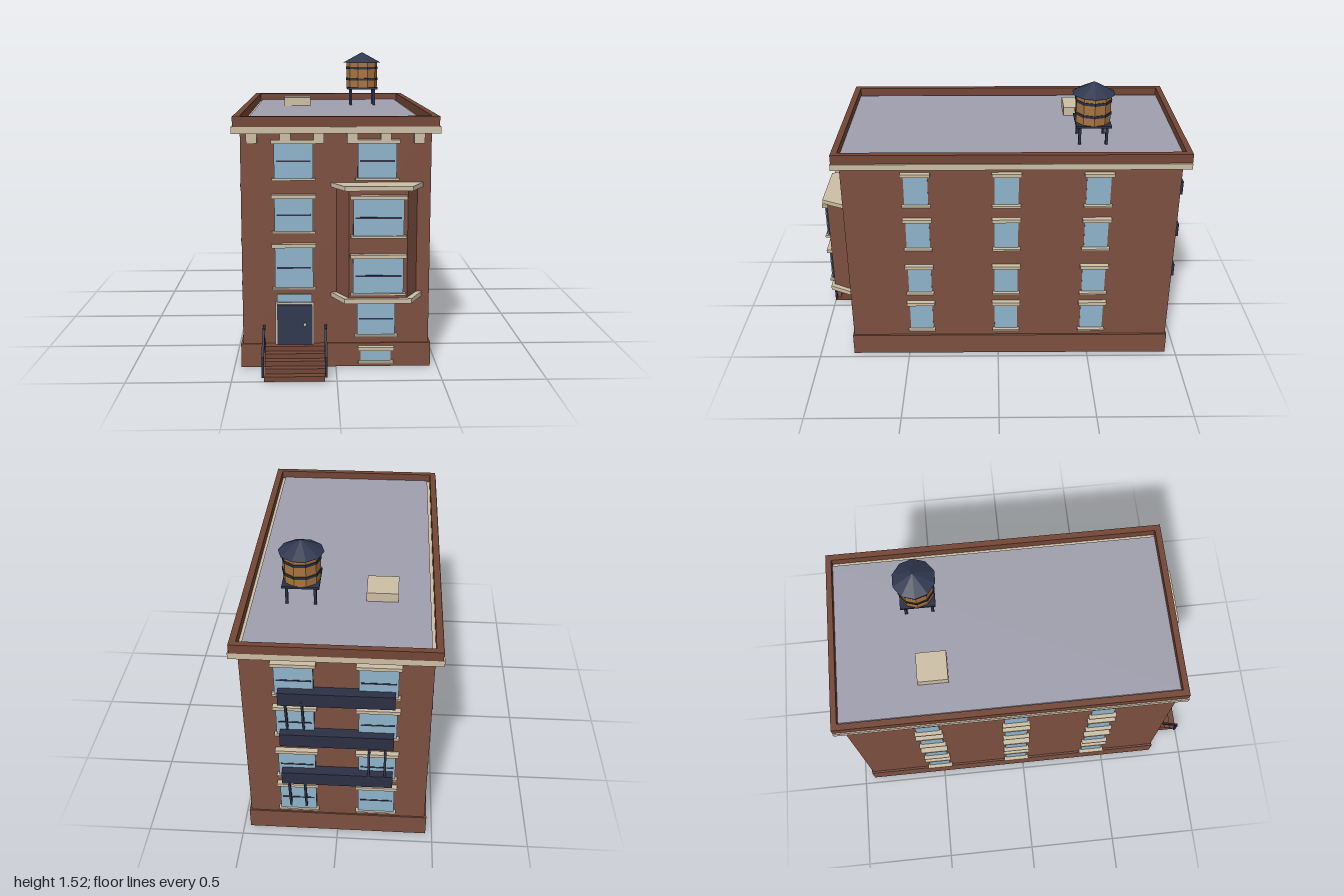
import * as THREE from 'three';

const mat = (name, color) => {
  const m = new THREE.MeshStandardMaterial({ color });
  m.name = name;
  return m;
};

export function createModel() {
  const brick = mat('brick', 0x7d5040);
  const darkBrick = mat('dark brick', 0x734636);
  const stone = mat('cream stone', 0xcdbfa6);
  const glass = mat('window glass', 0x8fb4cc);
  const iron = mat('dark iron', 0x2b3044);
  const slate = mat('slate blue', 0x30384f);
  const roofing = mat('grey roofing', 0x9f9fae);
  const wood = mat('barrel wood', 0xa87440);

  const model = new THREE.Group();
  model.name = 'townhouse';

  const add = (parent, name, geo, m) => {
    const mesh = new THREE.Mesh(geo, m);
    mesh.name = name;
    parent.add(mesh);
    return mesh;
  };
  // Box given by its minimum and maximum on each axis
  const box = (parent, name, m, x0, x1, y0, y1, z0, z1) => {
    const mesh = add(parent, name, new THREE.BoxGeometry(x1 - x0, y1 - y0, z1 - z0), m);
    mesh.position.set((x0 + x1) / 2, (y0 + y1) / 2, (z0 + z1) / 2);
    return mesh;
  };
  // Thin square bar between two points
  const bar = (parent, name, m, a, b, w) => {
    const p = new THREE.Vector3(...a), q = new THREE.Vector3(...b);
    const mesh = add(parent, name, new THREE.BoxGeometry(w, w, p.distanceTo(q)), m);
    mesh.position.copy(p).add(q).multiplyScalar(0.5);
    mesh.lookAt(q);
    return mesh;
  };
  const group = (name) => {
    const g = new THREE.Group();
    g.name = name;
    model.add(g);
    return g;
  };

  const W = 0.455, FRONT = 0.805, BACK = -0.936;

  // Walls and plinth
  box(model, 'walls', brick, -W, W, 0.12, 1.16, BACK, FRONT);
  box(model, 'plinth', brick, -0.466, 0.466, 0, 0.12, -0.943, 0.812);

  // Cornice, roof and parapet
  box(model, 'cornice', stone, -0.495, 0.495, 1.16, 1.192, -0.975, 0.843);
  box(model, 'roof', roofing, -0.44, 0.44, 1.19, 1.2, -0.945, 0.808);
  for (const s of [-1, 1]) {
    box(model, 'sideParapet', darkBrick, Math.min(s * 0.455, s * 0.488), Math.max(s * 0.455, s * 0.488), 1.192, 1.24, -0.975, 0.84);
  }
  box(model, 'frontParapet', darkBrick, -0.455, 0.455, 1.192, 1.24, 0.808, 0.84);
  box(model, 'backParapet', darkBrick, -0.455, 0.455, 1.192, 1.24, -0.975, -0.945);
  for (let i = 0; i < 6; i++) {
    const x = -0.4 + i * 0.159;
    box(model, 'corniceBracket', stone, x - 0.025, x + 0.025, 1.112, 1.16, FRONT, 0.832);
  }
  box(model, 'roofHatch', stone, -0.28, -0.122, 1.2, 1.249, -0.53, -0.372);

  // Window facing local +z, wall plane at z = 0
  const windowUnit = (parent, x, y0, y1, w, sash) => {
    const g = new THREE.Group();
    g.name = 'window';
    parent.add(g);
    const h = w / 2, d = sash ? 0.012 : 0.001;
    if (sash) {
      box(g, 'frame', iron, x - h, x + h, y0, y1, -0.005, d);
      const ym = (y0 + y1) / 2 - 0.001;
      box(g, 'sashBar', iron, x - h + 0.01, x + h - 0.01, ym - 0.004, ym + 0.004, d, d + 0.006);
    }
    box(g, 'pane', glass, x - h, x + h, y0, y1, d, d + 0.004);
    box(g, 'lintel', stone, x - h - 0.014, x + h + 0.014, y1, y1 + 0.018, 0, 0.028);
    box(g, 'sill', stone, x - h - 0.012, x + h + 0.012, y0 - 0.01, y0, 0, 0.026);
  };
  const wall = (name, x, z, turn) => {
    const g = group(name);
    g.position.set(x, 0, z);
    g.rotation.y = turn;
    return g;
  };
  const floors = [[0.167, 0.329], [0.408, 0.563], [0.687, 0.848], [0.945, 1.111]];

  // Front windows
  const front = wall('frontWindows', 0, FRONT, 0);
  windowUnit(front, -0.203, 0.408, 0.607, 0.185, true);
  for (const i of [2, 3]) windowUnit(front, -0.203, ...floors[i], 0.185, true);
  for (const i of [0, 3]) windowUnit(front, 0.196, ...floors[i], 0.185, true);
  windowUnit(wall('basementWindow', 0, 0.812, 0), 0.196, 0.03, 0.088, 0.148, false);

  // Back and side windows
  const back = wall('backWindows', 0, BACK, Math.PI);
  const left = wall('leftWindows', W, 0, Math.PI / 2);
  const right = wall('rightWindows', -W, 0, -Math.PI / 2);
  for (const [y0, y1] of floors) {
    for (const x of [-0.2, 0.2]) windowUnit(back, x, y0, y1, 0.185, true);
    for (const z of [0.423, -0.043, -0.515]) {
      windowUnit(left, -z, y0, y1, 0.124, false);
      windowUnit(right, z, y0, y1, 0.124, false);
    }
  }

  // Bay: trapezoid prisms extruded upward
  const prism = (name, m, xa, xb, xc, xd, depth, y0, y1) => {
    const s = new THREE.Shape();
    s.moveTo(xa, 0); s.lineTo(xb, -depth); s.lineTo(xc, -depth); s.lineTo(xd, 0);
    s.closePath();
    const mesh = add(model, name, new THREE.ExtrudeGeometry(s, { depth: y1 - y0, bevelEnabled: false }), m);
    mesh.rotation.x = -Math.PI / 2;
    mesh.position.set(0, y0, FRONT);
  };
  prism('bay', brick, 0.002, 0.058, 0.335, 0.391, 0.105, 0.378, 0.902);
  prism('bayCap', stone, -0.025, 0.038, 0.356, 0.418, 0.122, 0.9, 0.922);
  prism('bayBase', stone, -0.025, 0.038, 0.356, 0.418, 0.122, 0.357, 0.38);
  const bayFront = wall('bayWindows', 0, FRONT + 0.105, 0);
  windowUnit(bayFront, 0.197, 0.408, 0.579, 0.238, true);
  windowUnit(bayFront, 0.197, 0.687, 0.86, 0.238, true);

  // Entrance
  box(model, 'doorFrame', stone, -0.296, -0.108, 0.12, 0.332, FRONT, 0.822);
  box(model, 'door', slate, -0.287, -0.116, 0.12, 0.322, 0.822, 0.827);
  box(model, 'doorKnob', stone, -0.159, -0.145, 0.217, 0.231, 0.827, 0.838);
  box(model, 'transom', glass, -0.287, -0.116, 0.332, 0.37, FRONT, 0.812);

  // Stoop and railings
  for (let i = 0; i < 5; i++) {
    box(model, 'step', darkBrick, -0.345, -0.057, i * 0.024, (i + 1) * 0.024, FRONT, 1 - i * 0.037);
  }
  for (const x of [-0.351, -0.051]) {
    const g = group('railing');
    bar(g, 'lowerPost', iron, [x, 0.018, 0.992], [x, 0.118, 0.992], 0.012);
    bar(g, 'upperPost', iron, [x, 0.096, 0.862], [x, 0.21, 0.862], 0.012);
    bar(g, 'slopedRail', iron, [x, 0.115, 0.994], [x, 0.208, 0.86], 0.012);
    bar(g, 'topRail', iron, [x, 0.207, 0.865], [x, 0.207, FRONT], 0.012);
  }

  // Fire escape: balconies with zigzag ladders between them
  const escape = group('fireEscape');
  for (const y of [0.385, 0.644, 0.905]) {
    box(escape, 'balcony', iron, -0.28, 0.275, y, y + 0.075, -0.993, BACK);
  }
  const ladders = [[0.2, 0.165, -0.943, 0.4, -0.988], [-0.2, 0.44, -0.99, 0.67, -0.943], [0.2, 0.7, -0.943, 0.93, -0.988]];
  for (const [x, y0, z0, y1, z1] of ladders) {
    for (const dx of [-0.04, 0.04]) {
      bar(escape, 'ladderRail', iron, [x + dx, y0, z0], [x + dx, y1, z1], 0.012);
    }
  }

  // Rooftop water tank
  const tank = group('waterTank');
  tank.position.set(0.197, 0, -0.495);
  const drum = (name, m, rTop, rBottom, y0, y1) => {
    const geo = new THREE.CylinderGeometry(rTop, rBottom, y1 - y0, 10).toNonIndexed();
    geo.computeVertexNormals();
    const mesh = add(tank, name, geo, m);
    mesh.position.y = (y0 + y1) / 2;
    mesh.rotation.y = Math.PI / 2;
  };
  for (const x of [-0.07, 0.07]) {
    for (const z of [-0.07, 0.07]) {
      box(tank, 'leg', iron, x - 0.007, x + 0.007, 1.2, 1.3, z - 0.007, z + 0.007);
    }
  }
  box(tank, 'platform', iron, -0.092, 0.092, 1.296, 1.308, -0.092, 0.092);
  drum('barrel', wood, 0.094, 0.094, 1.308, 1.46);
  for (const y of [1.357, 1.425]) drum('hoop', iron, 0.098, 0.098, y - 0.007, y + 0.007);
  drum('tankRoof', slate, 0, 0.113, 1.458, 1.52);

  return model;
}
